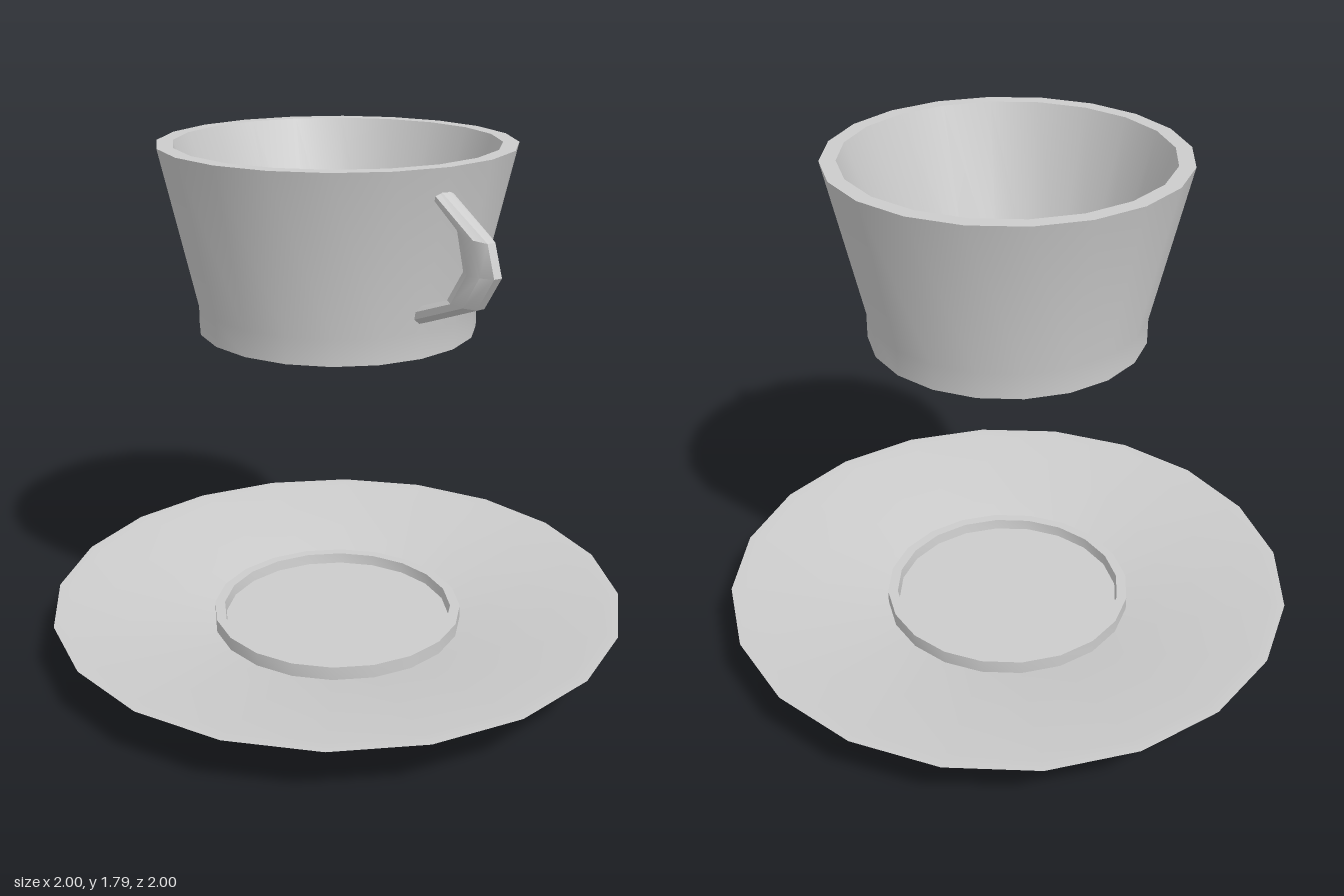
import * as THREE from 'three';
import { toCreasedNormals } from 'three/addons/utils/BufferGeometryUtils.js';

const SIDES = 20;
const material = new THREE.MeshStandardMaterial({ color: 0xcccccc });

// Turned part: closed [radius, height] profile from the underside centre to the inner centre
function turned(name, profile) {
  const points = profile.map(([r, y]) => new THREE.Vector2(r, y));
  const geometry = toCreasedNormals(new THREE.LatheGeometry(points, SIDES), 0.52);
  const mesh = new THREE.Mesh(geometry, material);
  mesh.name = name;
  return mesh;
}

// Handle: eight-sided cross-sections spanning matching outer and inner [z, y] points
function makeHandle() {
  const outer = [[0.51, 1.74], [0.766, 1.605], [0.8, 1.51], [0.73, 1.405], [0.43, 1.287]];
  const inner = [[0.51, 1.705], [0.63, 1.62], [0.664, 1.505], [0.595, 1.405], [0.43, 1.343]];
  const halfWidth = 0.034, n = 8;
  const positions = [], indices = [];
  outer.forEach(([zo, yo], i) => {
    const [zi, yi] = inner[i];
    for (let k = 0; k < n; k++) {
      const a = ((k + 0.5) / n) * Math.PI * 2;
      const s = Math.cos(a) / Math.cos(Math.PI / n) / 2;
      const x = (halfWidth * Math.sin(a)) / Math.cos(Math.PI / n);
      positions.push(x, (yo + yi) / 2 + s * (yo - yi), (zo + zi) / 2 + s * (zo - zi));
    }
  });
  for (let i = 0; i < outer.length - 1; i++) {
    for (let k = 0; k < n; k++) {
      const a = i * n + k, b = i * n + ((k + 1) % n);
      indices.push(a, a + n, b, b, a + n, b + n);
    }
  }
  const geometry = new THREE.BufferGeometry();
  geometry.setAttribute('position', new THREE.Float32BufferAttribute(positions, 3));
  geometry.setIndex(indices);
  // Open ends are buried in the cup wall
  const handleMaterial = material.clone();
  handleMaterial.side = THREE.DoubleSide;
  const mesh = new THREE.Mesh(toCreasedNormals(geometry, 0.52), handleMaterial);
  mesh.name = 'handle';
  return mesh;
}

export function createModel() {
  const model = new THREE.Group();
  model.name = 'cupAndSaucer';

  // Saucer with a foot, flared rim and raised ring that seats the cup
  model.add(turned('saucer', [
    [0, 0], [0.38, 0], [0.38, 0.045], [1, 0.195], [0.95, 0.193],
    [0.44, 0.09], [0.44, 0.137], [0.405, 0.137], [0.4, 0.1], [0, 0.1],
  ]));

  // Cup floating above the saucer
  const cup = new THREE.Group();
  cup.name = 'cup';
  cup.add(turned('cupBody', [
    [0, 1.185], [0.46, 1.185], [0.46, 1.27], [0.577, 1.79],
    [0.525, 1.79], [0.35, 1.25], [0, 1.25],
  ]));
  cup.add(makeHandle());
  model.add(cup);

  return model;
}
